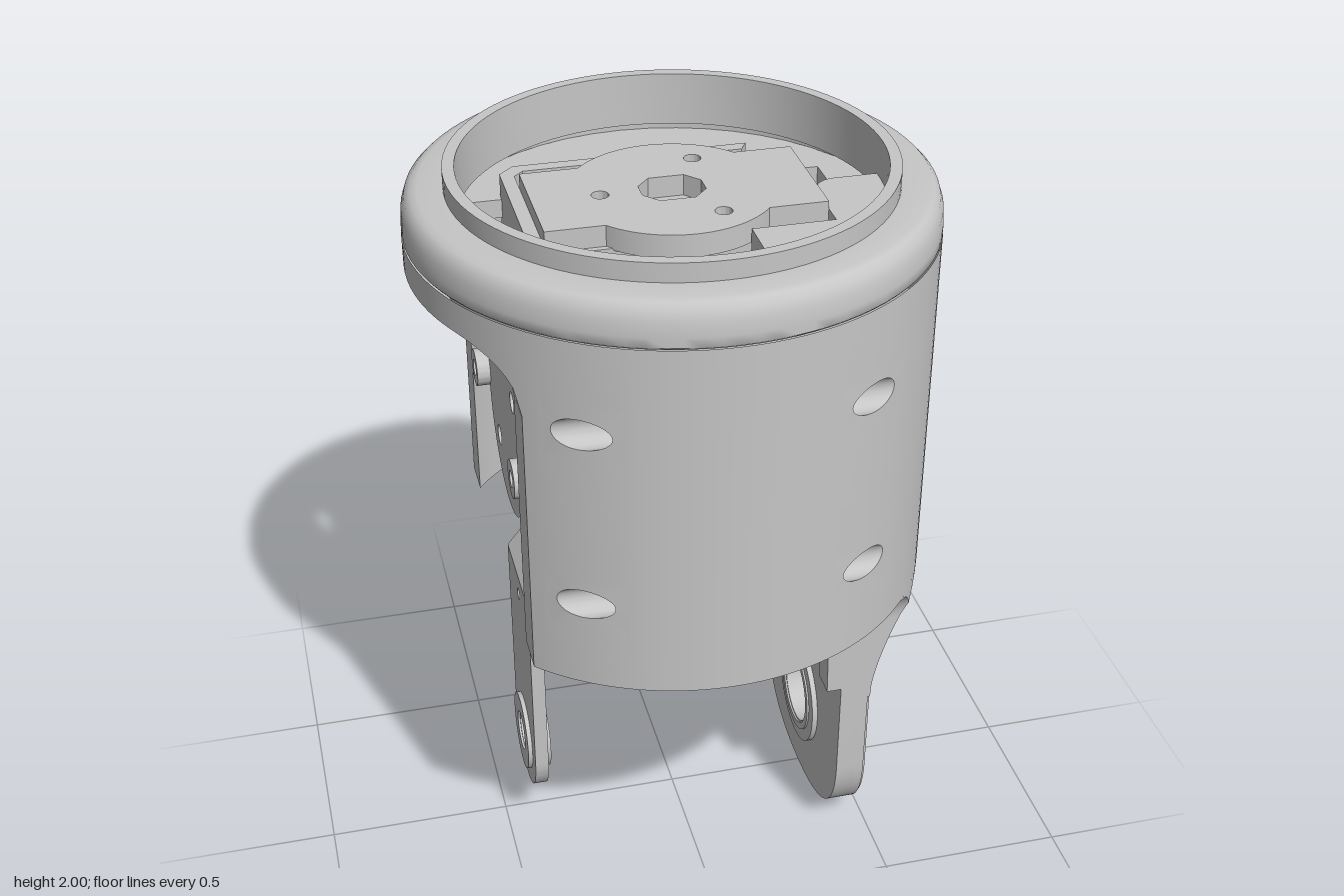
import * as THREE from 'three';
import { toCreasedNormals } from 'three/addons/utils/BufferGeometryUtils.js';

const GREY = new THREE.MeshStandardMaterial({ color: 0xc6c6c6, side: THREE.DoubleSide });
GREY.name = 'plain grey';
const R = 0.6647, RI = 0.5924, CUT = -0.47, RIM = 0.88, TOP = 1.84;
const STEP = 1.875, rad = THREE.MathUtils.degToRad;
const V = (x, y, z) => new THREE.Vector3(x, y, z);

// Collects quads and turns them into one geometry with sharp edges kept
class Surface {
  constructor() { this.p = []; }
  tri(a, b, c) {
    const area = b.clone().sub(a).cross(c.clone().sub(a)).length();
    if (area > 1e-9) for (const v of [a, b, c]) this.p.push(v.x, v.y, v.z);
  }
  quad(a, b, c, d, flip = false) {
    if (flip) [b, d] = [d, b];
    this.tri(a, b, c);
    this.tri(a, c, d);
  }
  grid(nu, nv, f) {
    for (let i = 0; i < nu; i++) for (let j = 0; j < nv; j++)
      this.quad(f(i / nu, j / nv), f(i / nu, (j + 1) / nv), f((i + 1) / nu, (j + 1) / nv), f((i + 1) / nu, j / nv));
  }
  build(crease) {
    const g = new THREE.BufferGeometry();
    g.setAttribute('position', new THREE.Float32BufferAttribute(this.p, 3));
    return toCreasedNormals(g, crease);
  }
}

const mesh = (name, geo) => { const m = new THREE.Mesh(geo, GREY); m.name = name; return m; };
const box = (name, x0, x1, y0, y1, z0, z1) =>
  mesh(name, new THREE.BoxGeometry(x1 - x0, y1 - y0, z1 - z0).translate((x0 + x1) / 2, (y0 + y1) / 2, (z0 + z1) / 2));
const extrude = (shape, depth) =>
  toCreasedNormals(new THREE.ExtrudeGeometry(shape, { depth, bevelEnabled: false, curveSegments: 24 }), 0.5);
// Shape drawn in (x, z), lying flat below a given top height
const slab = (name, shape, top, depth) => mesh(name, extrude(shape, depth).rotateX(Math.PI / 2).translate(0, top, 0));
// Shape drawn in (z, y), standing between two x positions
const plate = (name, shape, x0, x1) => mesh(name, extrude(shape, x1 - x0).rotateY(-Math.PI / 2).translate(x1, 0, 0));
const poly = (pts) => new THREE.Shape(pts.map(([x, y]) => new THREE.Vector2(x, y)));
const circle = (x, y, r, T = THREE.Path) => new T().absarc(x, y, r, 0, Math.PI * 2, false);
const ring = (name, x0, x1, y, z, r, hole) => {
  const s = circle(z, y, r, THREE.Shape);
  s.holes.push(circle(z, y, hole));
  return plate(name, s, x0, x1);
};

// Bottom edges of the shell: side opening at -x, scoop above the wide leg at +x
const openingY = (x) => x < -0.6 ? 1.76 : 1.61 + 0.15 * Math.sqrt(Math.max(0, 1 - ((x + 0.6) / 0.13) ** 2));
const scoopTop = (z) => Math.max(RIM, 0.96 - 1.17 * z * z);
const onWall = (r, deg, y) => V(r * Math.cos(rad(deg)), y, r * Math.sin(rad(deg)));
const rimY = (p) => (p.x > 0 ? scoopTop(p.z) : RIM);

function wall(s, r, edge, holeR, rect, inside) {
  const levels = [0, 1.04, 1.2, 1.52, 1.68, TOP];
  const bottom = (deg, open) => {
    const p = onWall(r, deg, 0);
    return open ? openingY(p.x) : rimY(p);
  };
  for (let i = -96; i < 96; i++) {
    const a = i * STEP, b = a + STEP, mid = Math.abs(a + STEP / 2);
    const open = mid > edge, folded = mid > 90 ? 180 - mid : mid;
    const ya = bottom(a, open), yb = bottom(b, open);
    for (let k = 0; k < 5; k++) {
      if ((k === 1 || k === 3) && folded > rect[0] && folded < rect[1]) continue;
      const at = (deg, low, l) => onWall(r, deg, Math.max(low, levels[l]));
      s.quad(at(a, ya, k), at(a, ya, k + 1), at(b, yb, k + 1), at(b, yb, k), inside);
    }
  }
  // Patches around the screw holes, which run along x; n steps match the wall columns
  const n = (rect[1] - rect[0]) / STEP, N = 4 * n;
  for (const sx of [-1, 1]) for (const sz of [-1, 1]) for (const yc of [1.12, 1.6]) {
    const flip = (sx * sz < 0) !== inside;
    const put = (p) => V(p.x * sx, p.y, p.z * sz);
    const outer = (i) => {
      const t = 2 * (i % n) / n - 1;
      const [c, h] = [[1, t], [-t, 1], [-1, -t], [t, -1]][Math.floor(i / n) % 4];
      return put(onWall(r, (rect[0] + rect[1]) / 2 + (rect[1] - rect[0]) / 2 * c, yc + 0.08 * h));
    };
    const bore = (i, q, x) => {
      const f = -Math.PI / 4 + i / N * Math.PI * 2, z = 0.56 + q * Math.cos(f);
      return put(V(x ?? Math.sqrt(r * r - z * z), yc + q * Math.sin(f), z));
    };
    for (let i = 0; i < N; i++) {
      const j = i + 1;
      s.quad(outer(i), bore(i, holeR), bore(j, holeR), outer(j), flip);
      s.quad(bore(i, holeR), bore(i, holeR, 0.25), bore(j, holeR, 0.25), bore(j, holeR), flip);
      if (!inside) s.quad(bore(i, 0.04, 0.25), bore(i, 0.022, 0.25), bore(j, 0.022, 0.25), bore(j, 0.04, 0.25), flip);
    }
  }
}

function shell() {
  const s = new Surface();
  wall(s, R, 135, 0.04, [48.75, 67.5], false);
  wall(s, RI, 142.5, 0.022, [60, 78.75], true);
  // Lower rim, arch of the opening, and its two upright edges
  s.grid(144, 1, (u, v) => {
    const p = onWall(v ? RI : R, (u * 2 - 1) * (v ? 142.5 : 135), 0);
    p.y = rimY(p);
    return p;
  });
  s.grid(48, 1, (u, v) => {
    const p = onWall(v ? RI : R, 180 + (u * 2 - 1) * (v ? 37.5 : 45), 0);
    p.y = openingY(p.x);
    return p;
  });
  for (const m of [-1, 1]) s.quad(V(CUT, RIM, m * 0.47), V(CUT, 1.61, m * 0.47), V(CUT, 1.61, m * 0.3606), V(CUT, RIM, m * 0.3606), m < 0);
  return mesh('shell', s.build(0.5));
}

function lid() {
  const pts = [[0.592, 1.838], [0.66, 1.84], [0.662, 1.843], [0.664, 1.845], [0.664, 1.87], [0.661, 1.905], [0.652, 1.932], [0.638, 1.946],
    [0.62, 1.951], [0.557, 1.951], [0.557, 2], [0.527, 2], [0.527, 1.86], [0.592, 1.838]];
  return mesh('lid', toCreasedNormals(new THREE.LatheGeometry(pts.map(([x, y]) => new THREE.Vector2(x, y)), 96), 0.6));
}

function wideLeg() {
  const g = new THREE.Group();
  g.name = 'wideLeg';
  const outline = (k) => {
    const o = new THREE.Shape().moveTo(-k, 0.5);
    const b = 0.345 - k;
    o.lineTo(-k, 0.26).bezierCurveTo(-k, 0.1 + b, -0.24, b, 0, b);
    o.bezierCurveTo(0.24, b, k, 0.1 + b, k, 0.26).lineTo(k, 0.5);
    return o;
  };
  const inner = outline(0.345);
  inner.holes.push(circle(0, 0.28, 0.1));
  g.add(plate('legInnerPlate', inner, 0.39, 0.445), plate('legOuterPlate', outline(0.345), 0.445, 0.468), plate('legOuterFace', outline(0.338), 0.468, 0.475));
  // Upper part: flat face sweeping out through a concave scoop to the shell
  const point = (u, v, x) => {
    const k = u * 2 - 1, top = scoopTop(0.445 * k);
    const a = THREE.MathUtils.clamp((v - 0.4) / 0.4, 0, 1) * Math.PI / 2;
    const y = v < 0.4 ? 0.5 + 0.65 * v : v < 0.8 ? 0.76 + 0.12 * Math.sin(a) : RIM + (top - RIM) * (v - 0.8) / 0.2;
    const z = k * (0.445 - 0.1 * Math.cos(a));
    if (x !== undefined) return V(x, Math.min(y, RIM), z);
    const low = Math.max(0.52, 0.84 - 0.2 * (z / 0.3) ** 4), high = 0.96 - 1.17 * z * z;
    const blend = THREE.MathUtils.clamp((y - low) / (high - low), 0, 1);
    return V(0.475 + (Math.sqrt(R * R - z * z) - 0.475) * blend ** 1.5, y, z);
  };
  const s = new Surface();
  s.grid(96, 60, (u, v) => point(1 - u, v));
  s.grid(96, 60, (u, v) => point(u, v, 0.39));
  for (const e of [0, 1]) s.grid(1, 60, (u, v) => (u === e ? point(e, v) : point(e, v, 0.39)));
  s.grid(96, 1, (u, v) => (v ? point(u, 1) : point(u, 1, 0.39)));
  g.add(mesh('legScoop', s.build(0.9)));
  // Inner rails, with a small curve into the shell
  const rail = new THREE.Shape().moveTo(0.4, 0.54);
  rail.lineTo(0.35, 0.54).lineTo(0.345, 0.8).quadraticCurveTo(0.34, 0.87, 0.29, 0.885).lineTo(0.4, 0.885);
  for (const z of [-0.345, 0.27]) g.add(mesh('legRail', extrude(rail, 0.075).translate(0, 0, z)));
  g.add(ring('wideBearing', 0.375, 0.43, 0.28, 0, 0.16, 0.1), ring('wideBearingLip', 0.37, 0.39, 0.28, 0, 0.125, 0.105));
  return g;
}

function thinLeg() {
  const g = new THREE.Group();
  g.name = 'thinLeg';
  const o = new THREE.Shape().moveTo(0.155, 0.82);
  o.lineTo(-0.155, 0.82).lineTo(-0.155, 0.28).absarc(0, 0.28, 0.155, Math.PI, Math.PI * 2, false).lineTo(0.155, 0.82);
  o.holes.push(circle(0, 0.28, 0.08), circle(0, 0.76, 0.016));
  g.add(plate('strap', o, -0.43, -0.393));
  const fold = poly([[-0.43, 0.82], [-0.393, 0.82], [-0.25, 0.98], [0.3, 0.98], [0.3, 1.02], [-0.27, 1.02]]);
  g.add(mesh('foldedBracket', extrude(fold, 0.31).translate(0, 0, -0.155)));
  g.add(ring('thinBearing', -0.442, -0.377, 0.28, 0, 0.11, 0.055), ring('thinBearingLip', -0.436, -0.385, 0.28, 0, 0.08, 0.05));
  return g;
}

function upperMotor() {
  const g = new THREE.Group();
  g.name = 'upperMotor';
  const a = Math.asin(0.165 / 0.26), o = new THREE.Shape().moveTo(0.35, 0);
  o.lineTo(0.35, 0.165).absarc(0, 0, 0.26, a, Math.PI - a, false).lineTo(-0.35, 0.165).lineTo(-0.35, -0.165);
  o.absarc(0, 0, 0.26, Math.PI + a, Math.PI * 2 - a, false).lineTo(0.35, -0.165);
  const socket = poly([[0.08, 0.025], [0.045, 0.065], [-0.045, 0.065], [-0.08, 0.025], [-0.08, -0.025], [-0.045, -0.065], [0.045, -0.065], [0.08, -0.025]]);
  o.holes.push(socket, circle(-0.18, 0, 0.022), circle(0.09, 0.155, 0.022), circle(0.09, -0.155, 0.022));
  g.add(slab('motorTop', o, 1.92, 0.06), box('motorBody', -0.345, 0.345, 1.6, 1.865, -0.18, 0.18));
  // Angled strap around two sides
  const strap = poly([[-0.35, 0.13], [-0.385, 0.13], [-0.385, -0.26], [-0.345, -0.3], [0.27, -0.3], [0.25, -0.265], [-0.325, -0.265], [-0.35, -0.24]]);
  g.add(slab('angledStrap', strap, 1.88, 0.35));
  return g;
}

function sideMotor() {
  const g = new THREE.Group();
  g.name = 'sideMotor';
  const disc = circle(0, 1.32, 0.255, THREE.Shape);
  for (let i = 0; i < 4; i++) {
    const t = Math.PI / 4 + i * Math.PI / 2;
    disc.holes.push(circle(0.17 * Math.cos(t), 1.32 + 0.17 * Math.sin(t), 0.028));
  }
  g.add(plate('outputDisc', disc, -0.44, -0.4), box('sideMotorBody', -0.39, 0.33, 1.02, 1.6, -0.17, 0.17));
  g.add(box('sideMotorFlange', -0.42, -0.37, 1.22, 1.42, -0.33, 0.33));
  for (const z of [-0.28, 0.28]) g.add(ring('screwBoss', -0.475, -0.4, 1.32, z, 0.05, 0.022));
  return g;
}

function floors() {
  const g = new THREE.Group();
  g.name = 'innerFloors';
  const base = circle(0, 0, 0.59, THREE.Shape);
  base.holes.push(poly([[-0.47, -0.24], [0.45, -0.24], [0.45, 0], [0.38, 0.02], [0.35, 0.07], [0.35, 0.225], [-0.47, 0.225]]));
  g.add(slab('lowerFloor', base, 1.82, 0.05));
  // Motor well, open at the front left corner
  const well = poly([[-0.47, -0.24], [0.45, -0.24], [0.45, 0.225], [-0.36, 0.225], [-0.36, 0.13], [-0.47, 0.13]]);
  g.add(slab('wellFloor', well, 1.63, 0.03), box('wellSide', -0.468, -0.455, 1.62, 1.8, -0.24, 0.13));
  const raised = new THREE.Shape().moveTo(0.14, 0.225);
  raised.lineTo(0.35, 0.225).lineTo(0.35, 0.07).quadraticCurveTo(0.36, 0, 0.42, 0).lineTo(0.53, 0);
  raised.absarc(0, 0, 0.53, 0, Math.acos(0.14 / 0.53), false);
  g.add(slab('raisedFloor', raised, 1.9, 0.09));
  const wedge = new THREE.Shape().moveTo(0, 0.53);
  wedge.absarc(0, 0, 0.53, Math.PI / 2, Math.PI - 0.57, false);
  wedge.lineTo(-0.37, 0.235).quadraticCurveTo(-0.21, 0.42, 0, 0.43);
  g.add(slab('curvedWedge', wedge, 1.88, 0.07));
  return g;
}

export function createModel() {
  const model = new THREE.Group();
  model.name = 'jointHousing';
  model.add(shell(), lid(), wideLeg(), thinLeg(), upperMotor(), sideMotor(), floors());
  return model;
}
